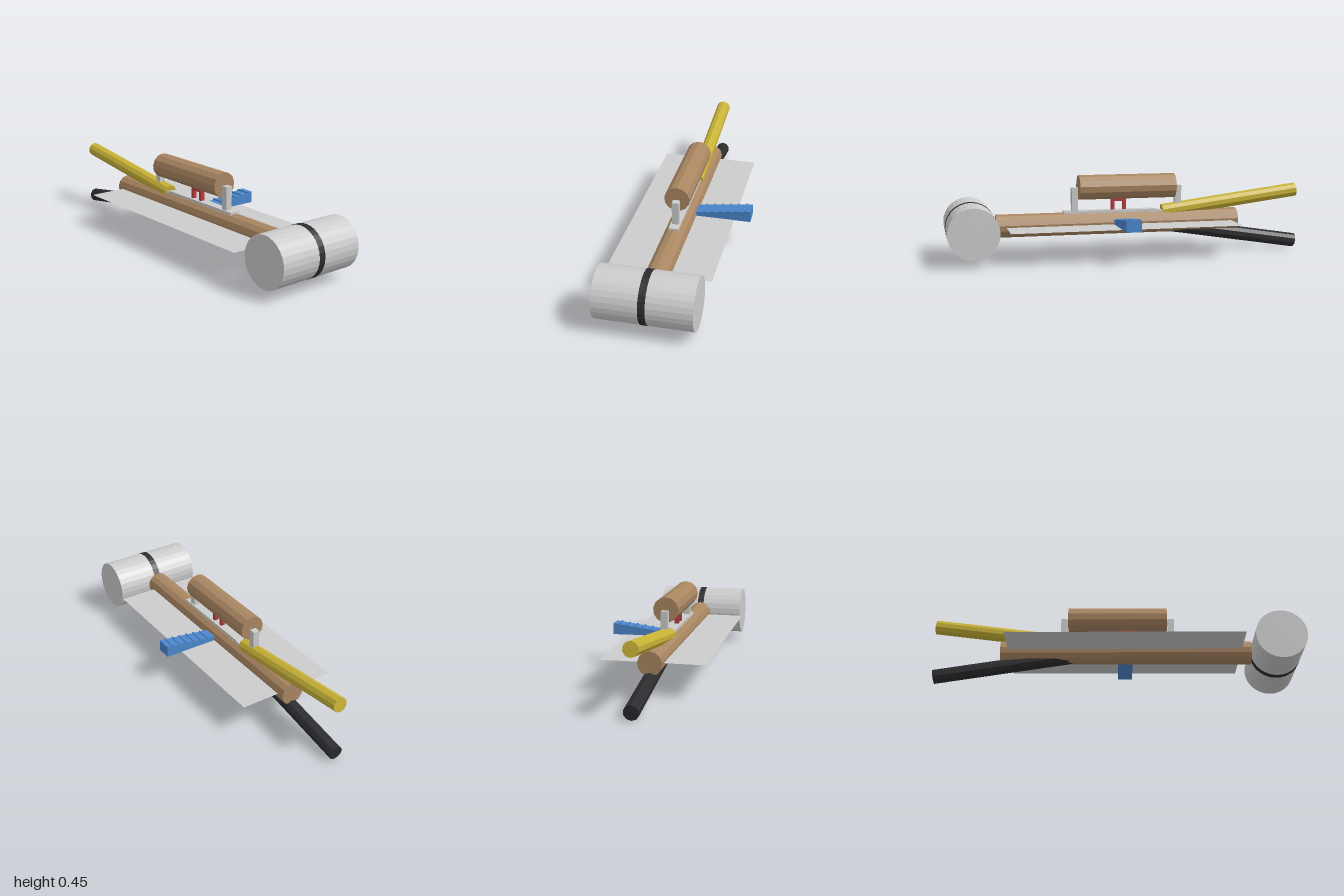
import * as THREE from 'three';

const CX = -0.046; // centre line of the body

const paint = (color) => new THREE.MeshStandardMaterial({ color, flatShading: true, side: THREE.DoubleSide });

export function createModel() {
  const model = new THREE.Group();
  const brown = paint(0xa98661);
  const grey = paint(0xcccccc);
  const black = paint(0x2c2c2f);
  const yellow = paint(0xc8b236);
  const blue = paint(0x4a86cc);
  const red = paint(0xb83a3a);

  function add(name, geometry, material) {
    const mesh = new THREE.Mesh(geometry, material);
    mesh.name = name;
    model.add(mesh);
    return mesh;
  }

  // Box given by its lower and upper limits on each axis
  function box(name, material, x, y, z) {
    const mesh = add(name, new THREE.BoxGeometry(x[1] - x[0], y[1] - y[0], z[1] - z[0]), material);
    mesh.position.set((x[0] + x[1]) / 2, (y[0] + y[1]) / 2, (z[0] + z[1]) / 2);
    return mesh;
  }

  // Cylinder between two points
  function rod(name, material, from, to, radius, sides) {
    const a = new THREE.Vector3(...from);
    const b = new THREE.Vector3(...to);
    const dir = b.clone().sub(a);
    const mesh = add(name, new THREE.CylinderGeometry(radius, radius, dir.length(), sides), material);
    mesh.position.copy(a).add(b).multiplyScalar(0.5);
    mesh.quaternion.setFromUnitVectors(new THREE.Vector3(0, 1, 0), dir.normalize());
    return mesh;
  }

  // Cross drum at the front with its dark band
  rod('drum', grey, [-0.295, 0.178, 0.863], [0.203, 0.178, 0.863], 0.136, 28);
  rod('drumBand', black, [CX - 0.018, 0.178, 0.863], [CX + 0.018, 0.178, 0.863], 0.137, 28);

  // Long body and the flat sheet through it
  rod('body', brown, [CX, 0.181, 0.73], [CX, 0.181, -0.632], 0.063, 13);
  const sheet = add('sheet', new THREE.PlaneGeometry(0.543, 1.267), grey);
  sheet.rotation.x = -Math.PI / 2;
  sheet.position.set(CX, 0.178, 0.043);

  // Tail rods spreading up and down
  rod('upperTail', yellow, [CX, 0.236, -0.2], [CX, 0.338, -0.995], 0.039, 10);
  rod('lowerTail', black, [CX, 0.165, -0.2], [CX, 0.04, -0.993], 0.039, 10);

  // Mounting rail, tapering at the rear
  const rail = new THREE.Shape();
  rail.moveTo(-0.36, 0.235);
  rail.lineTo(-0.36, 0.253);
  rail.lineTo(0.15, 0.253);
  rail.lineTo(0.2, 0.244);
  rail.lineTo(0.2, 0.235);
  const railGeometry = new THREE.ExtrudeGeometry(rail, { depth: 0.052, bevelEnabled: false });
  railGeometry.rotateY(Math.PI / 2);
  railGeometry.translate(CX - 0.026, 0, 0);
  add('rail', railGeometry, grey);

  // Upper barrel held between two posts
  rod('barrel', brown, [CX, 0.38, 0.275], [CX, 0.38, -0.268], 0.068, 13);
  box('frontPost', grey, [CX - 0.018, CX + 0.018], [0.24, 0.38], [0.28, 0.315]);
  box('rearPost', grey, [CX - 0.018, CX + 0.018], [0.25, 0.38], [-0.308, -0.273]);

  // Red bracket under the barrel
  for (const z of [0.018, 0.084]) {
    box('bracketLeg', red, [CX - 0.012, CX + 0.012], [0.24, 0.325], [z - 0.009, z + 0.009]);
  }
  box('bracketBar', red, [CX - 0.012, CX + 0.012], [0.3, 0.318], [0.009, 0.093]);

  // Side wedge with ridges along its sloping top
  const top = (x) => 0.199 + 0.128 * x;
  const wedge = new THREE.Shape();
  wedge.moveTo(-0.02, 0.176);
  wedge.lineTo(0.315, 0.177);
  wedge.lineTo(0.315, top(0.315));
  for (let i = 5; i >= 0; i--) {
    const x = 0.056 + i * 0.0445;
    wedge.lineTo(x + 0.008, top(x + 0.008));
    wedge.lineTo(x + 0.008, top(x) + 0.007);
    wedge.lineTo(x, top(x) + 0.007);
    wedge.lineTo(x, top(x));
  }
  wedge.lineTo(-0.02, top(-0.02));
  const wedgeGeometry = new THREE.ExtrudeGeometry(wedge, { depth: 0.082, bevelEnabled: false });
  wedgeGeometry.translate(0, 0, 0.005);
  add('sideWedge', wedgeGeometry, blue);

  return model;
}
